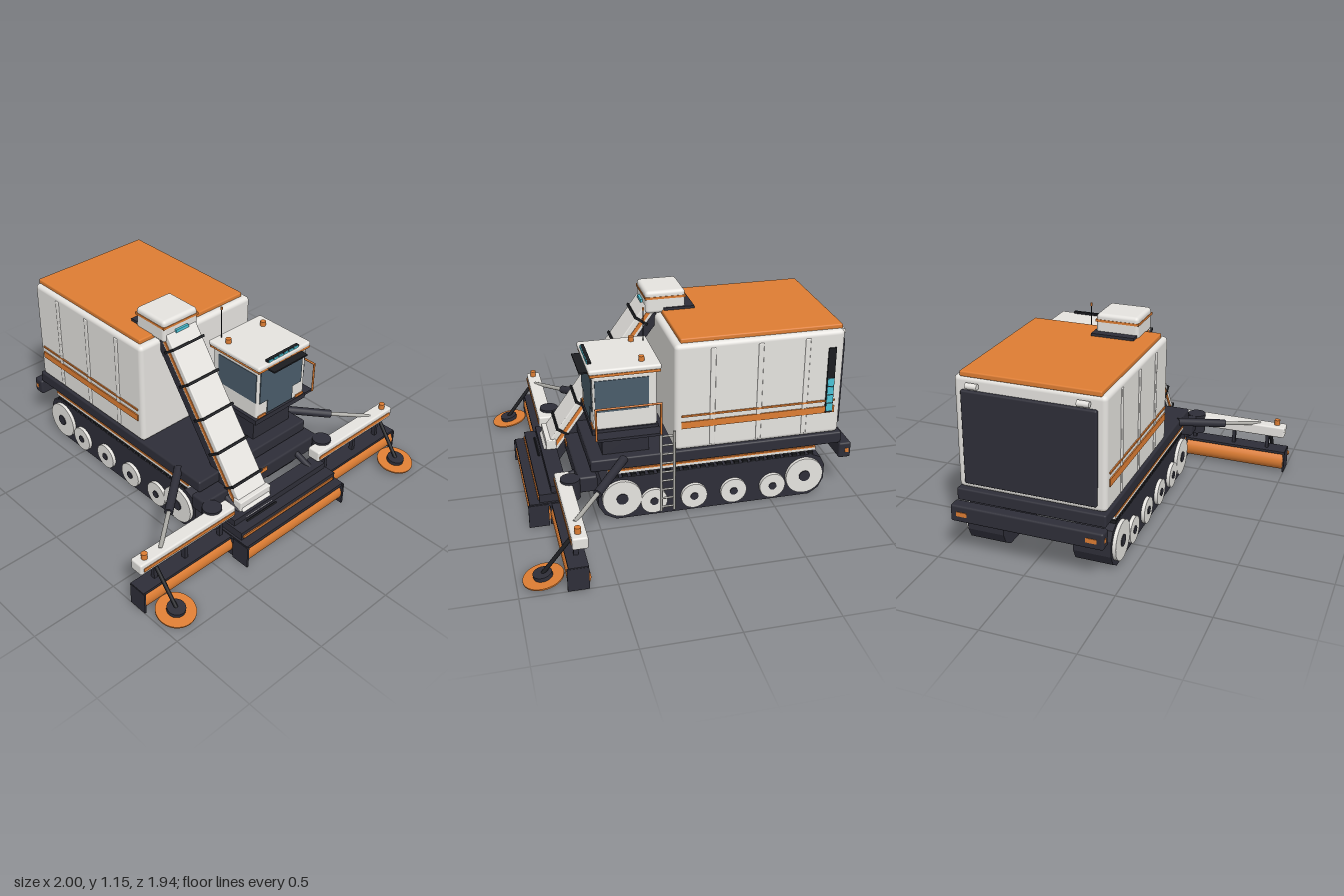
import * as THREE from 'three';
import { RoundedBoxGeometry } from 'three/addons/geometries/RoundedBoxGeometry.js';

export function createModel() {
  const model = new THREE.Group();
  model.name = 'trackedHarvester';
  const mat = (name, color) => {
    const m = new THREE.MeshStandardMaterial({ color });
    m.name = name;
    return m;
  };
  const white = mat('offWhite', 0xe5e3df), orange = mat('orange', 0xdd7d33);
  const dark = mat('charcoal', 0x2e2e38), black = mat('black', 0x1b1c20);
  const glass = mat('glass', 0x4a5c6a), cyan = mat('cyanLight', 0x4cc4d8);
  const metal = mat('metal', 0xa9a8a3);

  let target = model;
  const add = (name, geo, material) => {
    const m = new THREE.Mesh(geo, material);
    m.name = name;
    target.add(m);
    return m;
  };
  // Box given by its ranges; the x range may be mirrored
  const box = (name, m, x0, x1, y0, y1, z0, z1, r = 0) => {
    const w = Math.abs(x1 - x0), h = y1 - y0, d = Math.abs(z1 - z0);
    const g = r ? new RoundedBoxGeometry(w, h, d, 3, r) : new THREE.BoxGeometry(w, h, d);
    const mesh = add(name, g, m);
    mesh.position.set((x0 + x1) / 2, (y0 + y1) / 2, (z0 + z1) / 2);
    return mesh;
  };
  const rod = (name, m, a, b, r, sides = 16) => {
    const p = new THREE.Vector3(...a), q = new THREE.Vector3(...b);
    const mesh = add(name, new THREE.CylinderGeometry(r, r, p.distanceTo(q), sides), m);
    mesh.position.copy(p).add(q).multiplyScalar(0.5);
    mesh.quaternion.setFromUnitVectors(new THREE.Vector3(0, 1, 0), q.sub(p).normalize());
    return mesh;
  };
  // Side outline of [z, y] points, extruded across x
  const profile = (name, m, pts, x0, x1) => {
    const w = Math.abs(x1 - x0);
    const shape = new THREE.Shape(pts.map(([z, y]) => new THREE.Vector2(z, y)));
    const g = new THREE.ExtrudeGeometry(shape, { depth: w, bevelEnabled: false });
    g.rotateY(-Math.PI / 2).translate(Math.max(x0, x1), 0, 0);
    return add(name, g, m);
  };
  const sides = [1, -1];

  // Chassis, deck and bumpers
  box('deck', dark, -0.415, 0.415, 0.32, 0.39, -0.91, 0.53, 0.01);
  box('chassis', dark, -0.12, 0.12, 0.24, 0.32, -0.75, 0.5);
  box('frontCrossBeam', dark, -0.445, 0.445, 0.22, 0.315, 0.5, 0.605, 0.012);
  box('frontMarker', orange, -0.033, 0.028, 0.283, 0.308, 0.603, 0.61);
  box('rearBumper', dark, -0.425, 0.425, 0.225, 0.32, -0.972, -0.9, 0.012);
  for (const s of sides) {
    box('rearMarker', orange, s * 0.33, s * 0.39, 0.26, 0.285, -0.975, -0.97);
    box('sideMarker', orange, s * 0.422, s * 0.427, 0.26, 0.285, -0.957, -0.935);
  }

  // Crawler tracks with wheels, lugs and fenders
  const trackOutline = [[0.495, 0.1], [0.495, 0.19], [0.47, 0.24], [0.415, 0.265], [-0.735, 0.265], [-0.795, 0.24],
    [-0.82, 0.19], [-0.82, 0.1], [-0.79, 0.04], [-0.735, 0.005], [0.395, 0.005], [0.46, 0.04]].reverse();
  const wheels = [[0.364, 0.14, 0.11], [-0.696, 0.14, 0.11], [0.184, 0.1, 0.075], [-0.046, 0.1, 0.075],
    [-0.276, 0.1, 0.075], [-0.506, 0.1, 0.075]];
  for (const s of sides) {
    profile('track', dark, trackOutline, s * 0.2, s * 0.41);
    for (let i = 0; i < 24; i++) {
      const z = 0.405 - i * 0.049;
      box('trackLug', black, s * 0.2, s * 0.41, 0.26, 0.28, z - 0.027, z);
    }
    for (const [z, y, r] of wheels) {
      rod('wheel', white, [s * 0.39, y, z], [s * 0.43, y, z], r, 32);
      rod('wheelHub', dark, [s * 0.41, y, z], [s * 0.435, y, z], r * 0.3, 20);
    }
    box('fender', white, s * 0.2, s * 0.41, 0.29, 0.307, -0.76, 0.435);
    box('fenderTrim', orange, s * 0.2, s * 0.412, 0.307, 0.316, -0.76, 0.435);
  }

  // Hopper
  box('hopper', white, -0.41, 0.41, 0.39, 1.014, -0.89, 0.063, 0.025);
  box('hopperLid', orange, -0.383, 0.378, 1.008, 1.038, -0.885, 0.025, 0.008);
  box('rearPanel', dark, -0.365, 0.365, 0.425, 0.945, -0.912, -0.885, 0.01);
  for (const s of sides) {
    rod('rearLamp', white, [s * 0.265, 0.973, -0.91], [s * 0.33, 0.973, -0.91], 0.016);
    for (const z of [-0.147, -0.412, -0.677])
      box('hopperRib', white, s * 0.395, s * 0.415, 0.41, 0.985, z - 0.015, z + 0.015, 0.006);
    box('sideBand', orange, s * 0.409, s * 0.417, 0.525, 0.565, -0.852, 0.027);
    box('sideLine', orange, s * 0.409, s * 0.417, 0.594, 0.604, -0.852, 0.027);
  }
  box('gaugeSlot', black, 0.409, 0.418, 0.528, 0.918, -0.841, -0.797);
  for (let i = 0; i < 4; i++)
    box('gaugeLight', cyan, 0.415, 0.421, 0.538 + i * 0.051, 0.583 + i * 0.051, -0.838, -0.802);

  // Sloping elevator, built upright and then leaned back
  const elevator = new THREE.Group();
  elevator.name = 'elevator';
  elevator.position.set(-0.17, 0.23, 0.73);
  elevator.rotation.x = -0.628;
  model.add(elevator);
  target = elevator;
  box('elevatorCover', white, -0.105, 0.105, -0.03, 1.038, -0.07, 0, 0.006);
  box('elevatorBack', dark, -0.1, 0.1, -0.03, 1.03, -0.12, -0.068);
  for (const s of sides)
    box('elevatorStripe', orange, s * 0.1, s * 0.109, 0, 1.02, -0.052, -0.032);
  for (let i = 0; i < 6; i++)
    box('elevatorBand', black, -0.113, 0.113, i * 0.2 - 0.056, i * 0.2 - 0.042, -0.08, 0.009);
  target = model;
  box('elevatorHead', white, -0.293, -0.05, 1.02, 1.151, -0.11, 0.118, 0.02);
  box('headTrim', orange, -0.296, -0.047, 1.106, 1.119, -0.113, 0.121);
  box('headPlate', dark, -0.285, -0.04, 1.03, 1.053, -0.16, 0.015);
  box('elevatorLight', cyan, -0.216, -0.128, 1.064, 1.081, 0.115, 0.131);

  // Cab
  box('cabPedestal', dark, 0.065, 0.355, 0.38, 0.55, 0.195, 0.455);
  box('cabFloor', dark, 0.015, 0.415, 0.545, 0.575, 0.155, 0.515);
  box('cabBody', white, 0.03, 0.41, 0.57, 0.89, 0.16, 0.505, 0.015);
  box('cabRoofTrim', orange, 0.02, 0.418, 0.883, 0.898, 0.142, 0.52);
  box('cabRoof', white, 0.012, 0.42, 0.895, 0.925, 0.135, 0.525, 0.012);
  box('sunVisor', black, 0.09, 0.35, 0.88, 0.889, 0.515, 0.565);
  box('windscreen', glass, 0.048, 0.378, 0.67, 0.88, 0.503, 0.51);
  box('lowerWindscreen', glass, 0.11, 0.31, 0.585, 0.67, 0.503, 0.51);
  for (const x of [0.408, 0.027])
    box('sideWindow', glass, x, x + 0.006, 0.678, 0.86, 0.205, 0.495);
  box('rearWindow', glass, 0.08, 0.36, 0.68, 0.862, 0.155, 0.162);
  for (const x of [0.04, 0.34])
    box('cabCornerTrim', orange, x, x + 0.06, 0.576, 0.591, 0.5, 0.511);
  box('lightBar', black, 0.09, 0.33, 0.922, 0.938, 0.495, 0.515);
  for (let i = 0; i < 6; i++)
    box('lightBarLamp', cyan, 0.095 + i * 0.039, 0.128 + i * 0.039, 0.925, 0.937, 0.513, 0.519);
  for (const x of [0.075, 0.345])
    rod('cabBeacon', orange, [x, 0.92, 0.23], [x, 0.952, 0.23], 0.016);
  rod('antenna', black, [0.085, 0.92, 0.165], [0.085, 1.1, 0.162], 0.003, 8);
  rod('antennaTip', orange, [0.085, 1.1, 0.162], [0.085, 1.117, 0.162], 0.006, 8);

  // Side platform, handrail and ladder
  box('platform', dark, 0.4, 0.492, 0.543, 0.558, 0.15, 0.5);
  for (const z of [0.157, 0.505])
    rod('railPost', orange, [0.489, 0.55, z], [0.489, 0.733, z], 0.006, 8);
  rod('handrail', orange, [0.489, 0.733, 0.151], [0.489, 0.733, 0.511], 0.006, 8);
  for (const z of [0.083, 0.156])
    rod('ladderRail', metal, [0.48, 0.065, z], [0.48, 0.555, z], 0.008, 8);
  for (let i = 0; i < 9; i++)
    rod('ladderRung', metal, [0.48, 0.09 + i * 0.055, 0.083], [0.48, 0.09 + i * 0.055, 0.156], 0.006, 8);

  // Central header
  box('centreHood', dark, -0.385, 0.385, 0.127, 0.147, 0.66, 0.868);
  box('centreHousing', dark, -0.372, 0.372, 0.14, 0.195, 0.66, 0.812);
  box('housingStripe', orange, -0.36, 0.355, 0.156, 0.172, 0.811, 0.818);
  rod('centreRoller', orange, [-0.38, 0.07, 0.81], [0.38, 0.07, 0.81], 0.06, 24);
  box('feederBox', white, -0.285, -0.055, 0.225, 0.29, 0.655, 0.715, 0.006);
  box('headerBack', dark, -0.36, 0.36, 0.15, 0.232, 0.655, 0.745);

  for (const s of sides) {
    box('centreEndPlate', dark, s * 0.377, s * 0.389, 0.005, 0.14, 0.765, 0.876);
    rod('headerArm', dark, [s * 0.28, 0.27, 0.57], [s * 0.28, 0.21, 0.72], 0.018);
    rod('wingPivot', dark, [s * 0.435, 0.2, 0.648], [s * 0.435, 0.315, 0.648], 0.054, 24);

    // Folding wing: beam, roller and hood
    box('wingBeam', white, s * 0.33, s * 0.988, 0.235, 0.302, 0.64, 0.722, 0.01);
    box('wingStripe', orange, s * 0.34, s * 0.968, 0.254, 0.275, 0.719, 0.726);
    rod('wingBeacon', orange, [s * 0.935, 0.298, 0.685], [s * 0.935, 0.335, 0.685], 0.017);
    rod('wingRoller', orange, [s * 0.375, 0.07, 0.695], [s * 0.993, 0.07, 0.695], 0.06, 24);
    box('wingHood', dark, s * 0.37, s * 0.998, 0.125, 0.14, 0.645, 0.748);
    for (const x of [0.37, 0.99])
      box('wingEndPlate', dark, s * x, s * (x + 0.01), 0.005, 0.135, 0.645, 0.756);
    for (const x of [0.42, 0.67, 0.88])
      box('wingHanger', dark, s * (x - 0.01), s * (x + 0.01), 0.135, 0.24, 0.68, 0.705);

    // Hydraulic ram
    rod('ramBarrel', dark, [s * 0.4, 0.375, 0.345], [s * 0.64, 0.325, 0.535], 0.024);
    rod('ramRod', metal, [s * 0.63, 0.327, 0.527], [s * 0.83, 0.295, 0.685], 0.012);

    // Edge disc tilted down at the front
    rod('discArm', black, [s * 0.89, 0.24, 0.72], [s * 0.885, 0.055, 0.865], 0.011);
    rod('edgeDisc', orange, [s * 0.885, 0.03, 0.862], [s * 0.885, 0.038, 0.8634], 0.107, 32);
    rod('discHub', dark, [s * 0.885, 0.036, 0.863], [s * 0.885, 0.06, 0.8672], 0.05, 24);
  }
  return model;
}
